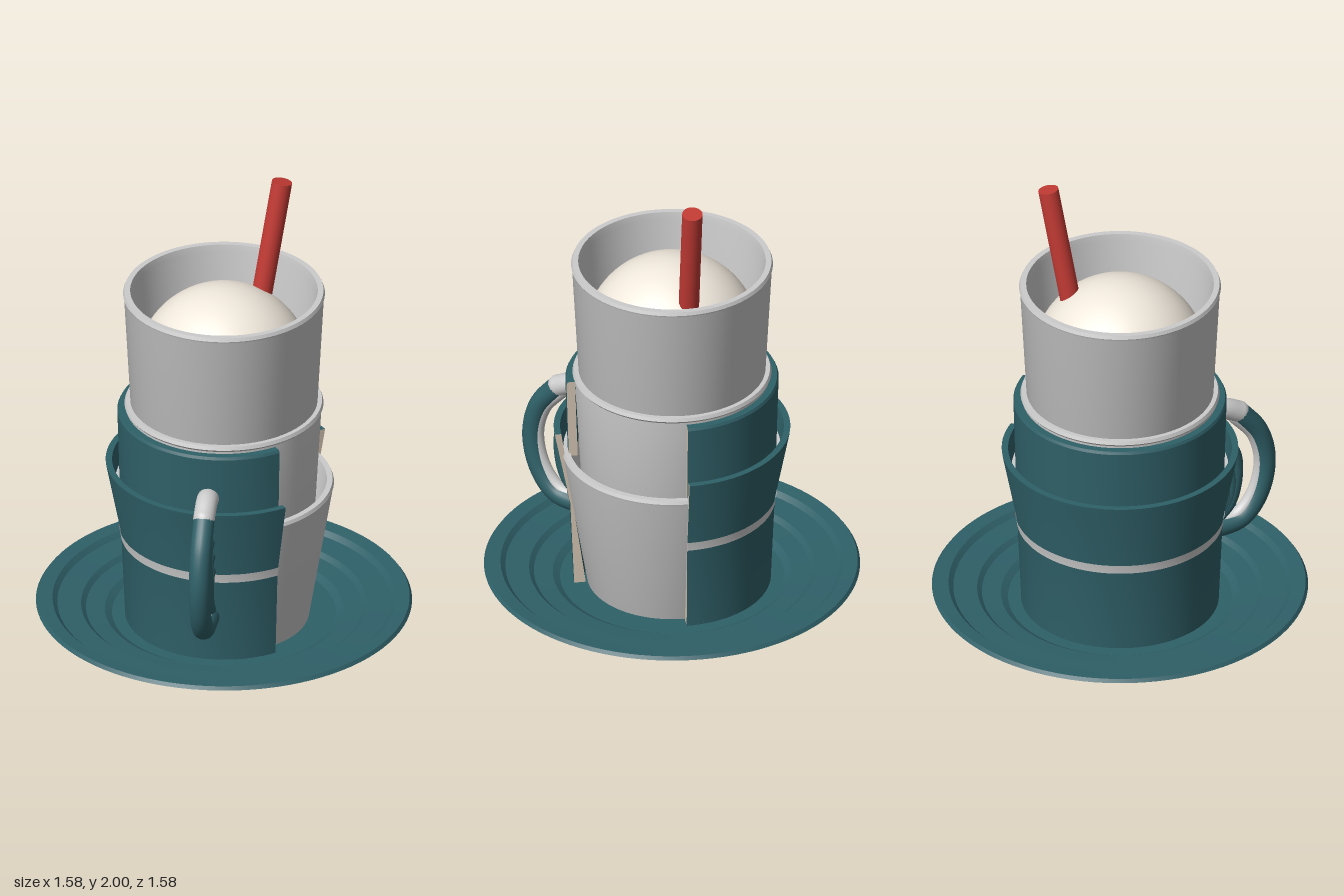
import * as THREE from 'three';
import { toCreasedNormals } from 'three/addons/utils/BufferGeometryUtils.js';

const TEAL = 0x2f6068, WHITE = 0xeeeeee, CREAM = 0xf0e8dc, BEIGE = 0xd2c3b0, RED = 0xc23a34;
const QUARTER = Math.PI / 2;

const vec2 = (pairs) => pairs.map(([x, y]) => new THREE.Vector2(x, y));

function mesh(name, geometry, color, side = THREE.FrontSide) {
  const m = new THREE.Mesh(geometry, new THREE.MeshStandardMaterial({ color, side }));
  m.name = name;
  return m;
}

// Turned part with crisp edges; the profile runs up the outside and down the inside
function turned(name, profile, color, start = 0, length = Math.PI * 2, side) {
  const segments = Math.round(96 * length / (Math.PI * 2));
  const geo = new THREE.LatheGeometry(vec2(profile), segments, start, length);
  return mesh(name, toCreasedNormals(geo, 0.45), color, side);
}

// Open-topped tapered cup with a small bevelled lip
function cup(name, y0, r0, y1, r1, lip) {
  const t = 0.03;
  return turned(name, [
    [0, y0], [r0 - 0.01, y0], [r0, y0 + 0.02],
    [r1 - lip, y1 - 0.025], [r1, y1 - 0.015], [r1 - 0.006, y1],
    [r1 - t, y1], [r1 - t - 0.005, y1 - 0.03], [r0 - t, y0 + 0.04], [0, y0 + 0.04],
  ], WHITE);
}

// Three-quarter sleeve, open at the front left, with its two cut faces
function sleeve(name, profile) {
  const group = new THREE.Group();
  group.name = name;
  group.add(turned(name + 'Wall', [...profile, profile[0]], TEAL, QUARTER, 3 * QUARTER));
  const section = new THREE.ShapeGeometry(new THREE.Shape(vec2(profile)));
  for (const angle of [0, -QUARTER]) {
    const face = mesh(name + 'CutFace', section, BEIGE, THREE.DoubleSide);
    face.rotation.y = angle;
    group.add(face);
  }
  return group;
}

// Capped tube through points in the handle plane (outward distance, height)
function tube(name, pairs, radius, color) {
  const group = new THREE.Group();
  group.name = name;
  const pts = pairs.map(([x, y]) => new THREE.Vector3(x, y, 0));
  const curve = new THREE.CatmullRomCurve3(pts);
  group.add(mesh(name + 'Body', new THREE.TubeGeometry(curve, 48, radius, 20), color));
  for (const p of [pts[0], pts[pts.length - 1]]) {
    const end = mesh(name + 'End', new THREE.SphereGeometry(radius, 20, 12), color);
    end.position.copy(p);
    group.add(end);
  }
  return group;
}

export function createModel() {
  const model = new THREE.Group();

  // Saucer with stepped rings
  model.add(turned('saucer', [
    [0, 0.003], [0.38, 0.003], [0.4, 0.02], [0.75, 0.08], [0.79, 0.095], [0.78, 0.11],
    [0.72, 0.105], [0.7, 0.085], [0.6, 0.078], [0.58, 0.06],
    [0.5, 0.053], [0.47, 0.035], [0, 0.035],
  ], TEAL));

  // Stack of three nested cups
  model.add(cup('bottomCup', 0, 0.355, 0.675, 0.462, 0.003));
  model.add(cup('middleCup', 0.3, 0.37, 1.055, 0.418, 0.008));
  model.add(cup('topCup', 0.7, 0.375, 1.58, 0.424, 0.004));

  // Cut-away sleeves and the pale band
  model.add(sleeve('lowerSleeve', [
    [0.365, 0.03], [0.415, 0.03], [0.432, 0.43], [0.495, 0.755], [0.497, 0.77], [0.47, 0.77], [0.455, 0.67],
  ]));
  model.add(sleeve('upperSleeve', [
    [0.4, 0.66], [0.438, 0.66], [0.448, 1.01], [0.442, 1.022], [0.412, 1.022],
  ]));
  model.add(turned('sleeveBand', [[0.434, 0.415], [0.436, 0.43], [0.441, 0.457]],
    WHITE, QUARTER, 3 * QUARTER, THREE.DoubleSide));

  // Domed filling
  const dome = mesh('filling',
    new THREE.SphereGeometry(0.37, 64, 24, 0, Math.PI * 2, 0, QUARTER), CREAM);
  dome.position.y = 1.205;
  model.add(dome);

  // Leaning straw
  const bottom = new THREE.Vector3(0.185, 1.35, -0.04);
  const top = new THREE.Vector3(0.31, 1.992, -0.04);
  const dir = top.clone().sub(bottom);
  const straw = mesh('straw', new THREE.CylinderGeometry(0.043, 0.043, dir.length(), 32), RED);
  straw.position.copy(bottom).add(top).multiplyScalar(0.5);
  straw.quaternion.setFromUnitVectors(new THREE.Vector3(0, 1, 0), dir.normalize());
  model.add(straw);

  // Handle: pale upper end, teal loop, pale inner stripe and nested inner loops
  const handle = new THREE.Group();
  handle.name = 'handle';
  const loop = [[0.56, 0.79], [0.65, 0.67], [0.685, 0.52], [0.65, 0.36], [0.57, 0.265], [0.42, 0.245]];
  handle.add(tube('handleTop', [[0.4, 0.815], [0.48, 0.825], [0.56, 0.79]], 0.046, WHITE));
  handle.add(tube('handleLoop', loop, 0.045, TEAL));
  handle.add(tube('handleStripe',
    loop.map(([x, y]) => [x - 0.022, y + (0.52 - y) * 0.07]), 0.029, WHITE));
  for (let i = 0; i < 3; i++) {
    const y = 0.63 - i * 0.075, r = 0.545 - i * 0.025;
    handle.add(tube('innerLoop',
      [[0.42, y - 0.01], [r - 0.03, y - 0.01], [r, y - 0.09], [r - 0.03, 0.36 - i * 0.02], [0.42, 0.27]],
      0.032, TEAL));
  }
  handle.rotation.y = -(Math.PI - THREE.MathUtils.degToRad(50));
  model.add(handle);

  return model;
}
